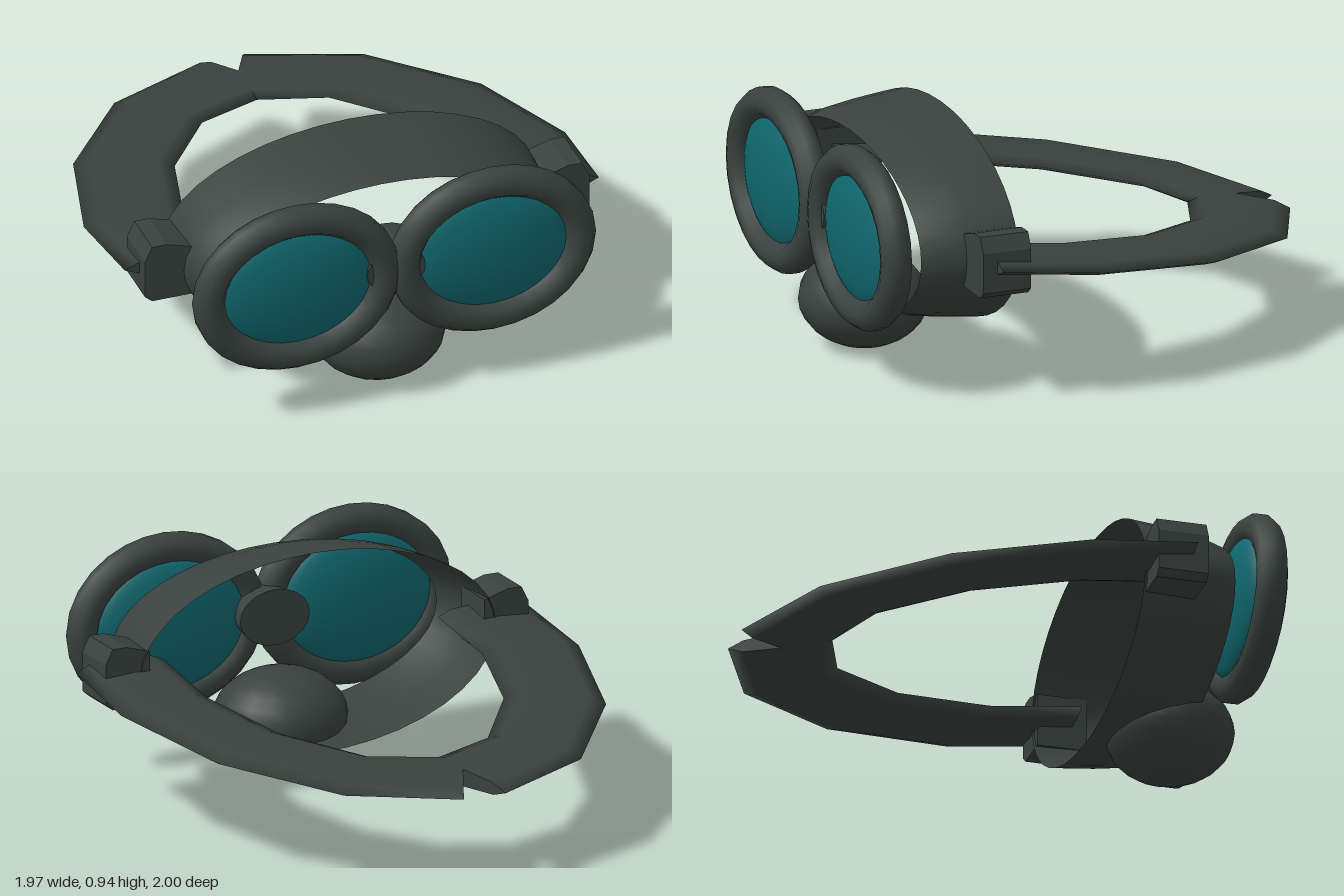
import * as THREE from 'three';

const frameMat = new THREE.MeshStandardMaterial({ color: 0x39423f, side: THREE.DoubleSide });
frameMat.name = 'dark frame';
const lensMat = new THREE.MeshStandardMaterial({ color: 0x0f666d });
lensMat.name = 'teal lens';

function part(name, geometry, material, x = 0, y = 0, z = 0) {
  const mesh = new THREE.Mesh(geometry, material);
  mesh.name = name;
  mesh.position.set(x, y, z);
  return mesh;
}

// Closed ellipse path for the eyepiece rims
class EllipsePath extends THREE.Curve {
  getPoint(t, target = new THREE.Vector3()) {
    const a = t * Math.PI * 2;
    return target.set(0.36 * Math.cos(a), 0.298 * Math.sin(a), 0);
  }
}

// One half of the head strap: flattened tube through outer/inner [x, z] pairs
function strapGeometry(side) {
  const sections = [
    [0.97, 0.57, 0.59, 0.57],
    [0.985, 0.15, 0.595, 0.2],
    [0.835, -0.38, 0.485, -0.2],
    [0.51, -0.81, 0.26, -0.51],
    [0.09, -1.0, -0.085, -0.64],
  ];
  const n = 8, pos = [], idx = [];
  const tri = (a, b, c) => (side > 0 ? idx.push(a, b, c) : idx.push(a, c, b));
  const ring = ([ox, oz, ix, iz]) => {
    const start = pos.length / 3;
    for (let j = 0; j < n; j++) {
      const a = (j / n) * Math.PI * 2, k = (1 + Math.cos(a)) / 2;
      const z = iz + (oz - iz) * k;
      pos.push(side * (ix + (ox - ix) * k), 0.48 + 0.12 * z + 0.034 * Math.sin(a), z);
    }
    return start;
  };
  const rings = sections.map(ring);
  for (let i = 0; i < rings.length - 1; i++) {
    for (let j = 0; j < n; j++) {
      const k = (j + 1) % n, a = rings[i], b = rings[i + 1];
      tri(a + j, b + j, a + k);
      tri(a + k, b + j, b + k);
    }
  }
  // End caps with their own vertices for sharp edges
  const front = ring(sections[0]), back = ring(sections[sections.length - 1]);
  for (let j = 1; j < n - 1; j++) {
    tri(front, front + j, front + j + 1);
    tri(back, back + j + 1, back + j);
  }
  const g = new THREE.BufferGeometry();
  g.setAttribute('position', new THREE.Float32BufferAttribute(pos, 3));
  g.setIndex(idx);
  g.computeVertexNormals();
  return g;
}

// Chamfered block holding the strap
function claspGeometry(side) {
  const outline = [[0.72, 0.425], [0.88, 0.425], [0.91, 0.45], [0.91, 0.61], [0.88, 0.67], [0.82, 0.67], [0.72, 0.64]];
  const shape = new THREE.Shape(outline.map(([x, y]) => new THREE.Vector2(side * x, y)));
  return new THREE.ExtrudeGeometry(shape, { depth: 0.2, bevelEnabled: false });
}

export function createModel() {
  const model = new THREE.Group();
  model.name = 'goggles';

  // Open oval face band, flaring toward the back
  const profile = [[0.7, 0.8], [0.74, 0.7], [0.755, 0.6], [0.762, 0.5], [0.765, 0.42]];
  const band = new THREE.LatheGeometry(profile.map(([r, z]) => new THREE.Vector2(r, z)).reverse(), 40);
  band.rotateX(Math.PI / 2);
  const p = band.attributes.position;
  for (let i = 0; i < p.count; i++) {
    const z = p.getZ(i);
    const ratio = 0.53 - 0.05 * (z - 0.42) / 0.38;
    p.setY(i, p.getY(i) * ratio);
  }
  band.computeVertexNormals();
  model.add(part('faceBand', band, frameMat, 0, 0.533, 0));

  // Mirrored eyepieces, clasps and strap halves
  for (const side of [1, -1]) {
    const label = side > 0 ? 'left' : 'right';
    const rim = new THREE.TubeGeometry(new EllipsePath(), 28, 0.063, 10, true);
    model.add(part(label + 'Rim', rim, frameMat, side * 0.4, 0.568, 0.93));

    const lens = new THREE.SphereGeometry(1, 32, 20);
    lens.scale(0.33, 0.27, 0.086);
    model.add(part(label + 'Lens', lens, lensMat, side * 0.4, 0.568, 0.91));

    model.add(part(label + 'Clasp', claspGeometry(side), frameMat, 0, 0, 0.43));
    model.add(part(label + 'Strap', strapGeometry(side), frameMat));
  }

  // Bridge between the eyepieces
  const bridge = new THREE.CylinderGeometry(0.12, 0.15, 0.17, 20);
  bridge.rotateX(Math.PI / 2);
  bridge.scale(1, 0.75, 1);
  model.add(part('bridge', bridge, frameMat, 0, 0.57, 0.875));

  // Rounded nose piece
  const nose = new THREE.SphereGeometry(1, 20, 14);
  nose.scale(0.265, 0.19, 0.25);
  model.add(part('nosePiece', nose, frameMat, 0, 0.19, 0.745));

  return model;
}
